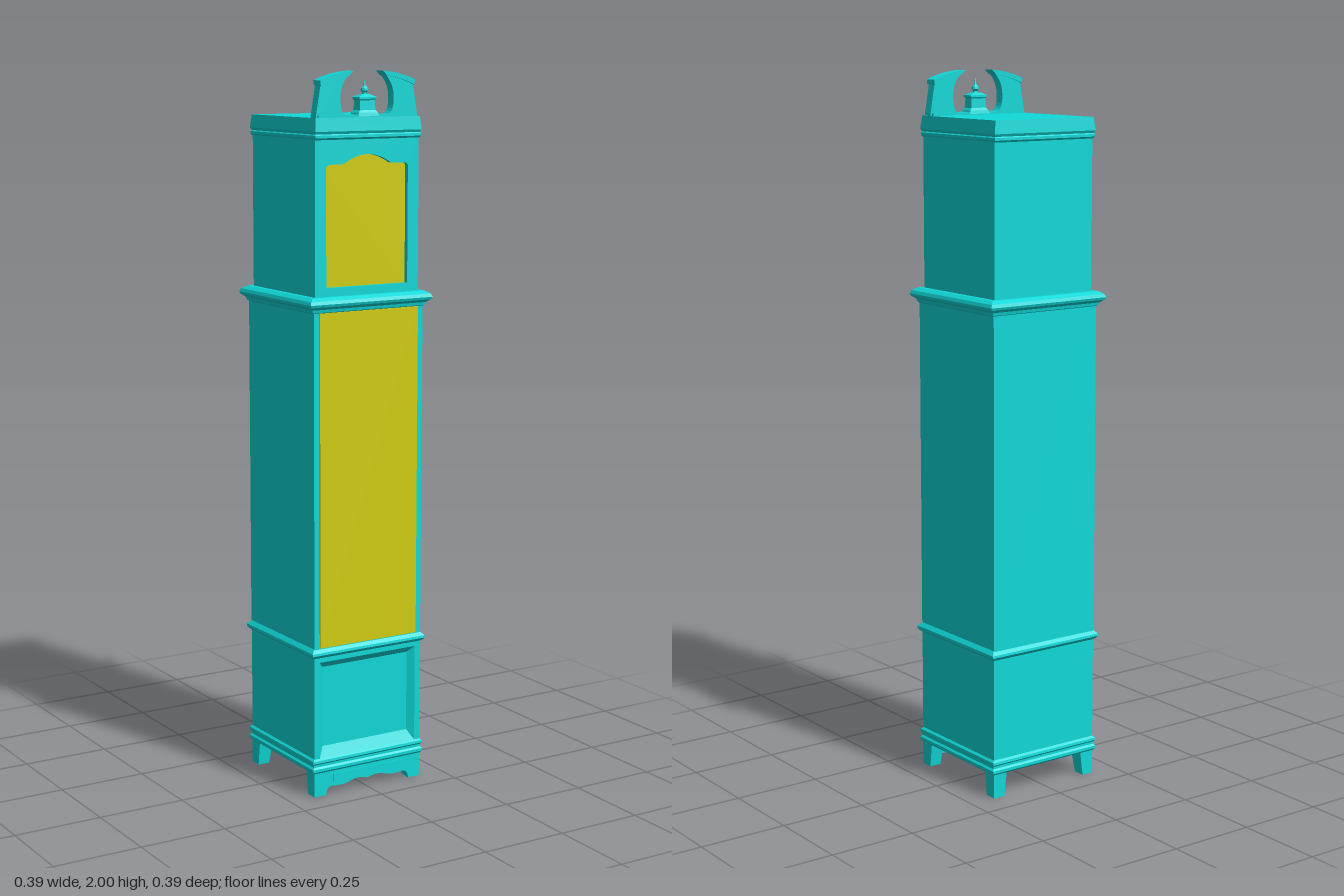
import * as THREE from 'three';

const wood = new THREE.MeshStandardMaterial({ color: 0x10d8d8, flatShading: true, side: THREE.DoubleSide });
const panel = new THREE.MeshStandardMaterial({ color: 0xd0cc10, flatShading: true, side: THREE.DoubleSide });

export function createModel() {
  const group = new THREE.Group();

  function add(name, geometry, material = wood, x = 0, y = 0, z = 0) {
    const mesh = new THREE.Mesh(geometry, material);
    mesh.name = name;
    mesh.position.set(x, y, z);
    group.add(mesh);
    return mesh;
  }
  // Box given by its lowest and highest corners
  function block(name, [x0, y0, z0], [x1, y1, z1], material) {
    return add(name, new THREE.BoxGeometry(x1 - x0, y1 - y0, z1 - z0), material,
      (x0 + x1) / 2, (y0 + y1) / 2, (z0 + z1) / 2);
  }
  // Four-sided moulding from a profile of [half width, y]
  function moulding(name, profile, zScale = 1, z = 0) {
    const points = profile.map(([r, y]) => new THREE.Vector2(r * Math.SQRT2, y));
    const mesh = add(name, new THREE.LatheGeometry(points, 4, Math.PI / 4), wood, 0, 0, z);
    mesh.scale.z = zScale;
    return mesh;
  }
  const slab = (shape, depth) =>
    new THREE.ExtrudeGeometry(shape, { depth, bevelEnabled: false, curveSegments: 8 });
  const rect = (x, y0, y1) => new THREE.Shape([[-x, y0], [x, y0], [x, y1], [-x, y1]]
    .map(([a, b]) => new THREE.Vector2(a, b)));

  // Base: body with a front frame round a bevelled recess
  block('baseBody', [-0.175, 0.07, -0.175], [0.175, 0.41, 0.16]);
  const baseFrame = rect(0.175, 0.07, 0.41);
  baseFrame.holes.push(rect(0.158, 0.11, 0.388));
  add('baseFrame', slab(baseFrame, 0.016), wood, 0, 0, 0.16);
  const ring = (x, y0, y1, z) => [[-x, y0, z], [x, y0, z], [x, y1, z], [-x, y1, z]];
  const outer = ring(0.158, 0.11, 0.388, 0.176), inner = ring(0.14, 0.14, 0.37, 0.161);
  const bevel = [];
  for (let i = 0; i < 4; i++) {
    const j = (i + 1) % 4;
    bevel.push(...outer[i], ...outer[j], ...inner[j], ...outer[i], ...inner[j], ...inner[i]);
  }
  const bevelGeometry = new THREE.BufferGeometry();
  bevelGeometry.setAttribute('position', new THREE.Float32BufferAttribute(bevel, 3));
  bevelGeometry.computeVertexNormals();
  add('basePanelBevel', bevelGeometry);

  // Mouldings at the foot, waist and shoulder
  moulding('footMoulding', [[0, 0.068], [0.176, 0.068], [0.182, 0.074], [0.182, 0.082],
    [0.177, 0.087], [0.177, 0.094], [0.182, 0.099], [0.181, 0.106], [0.174, 0.112]]);
  moulding('waistMoulding', [[0.174, 0.4], [0.181, 0.405], [0.186, 0.411], [0.185, 0.418], [0.174, 0.43]]);
  moulding('shoulderMoulding', [[0.174, 1.358], [0.18, 1.362], [0.182, 1.37], [0.193, 1.378],
    [0.196, 1.385], [0.192, 1.394], [0.179, 1.402], [0.165, 1.402], [0, 1.402]]);

  // Front apron with scalloped lower edge and bracket feet
  const apron = new THREE.Shape();
  apron.moveTo(-0.176, 0.07);
  apron.lineTo(-0.172, 0);
  apron.lineTo(-0.138, 0);
  apron.quadraticCurveTo(-0.135, 0.025, -0.115, 0.024);
  apron.quadraticCurveTo(-0.08, 0.018, -0.055, 0.028);
  apron.quadraticCurveTo(-0.03, 0.036, 0, 0.026);
  apron.quadraticCurveTo(0.03, 0.036, 0.055, 0.028);
  apron.quadraticCurveTo(0.08, 0.018, 0.115, 0.024);
  apron.quadraticCurveTo(0.135, 0.025, 0.138, 0);
  apron.lineTo(0.172, 0);
  apron.lineTo(0.176, 0.07);
  add('frontApron', slab(apron, 0.018), wood, 0, 0, 0.158);
  block('apronPanel', [-0.115, 0.037, 0.17], [0.115, 0.06, 0.179]);

  // Four tapered feet
  for (const sx of [-1, 1]) for (const sz of [-1, 1]) {
    const foot = new THREE.BoxGeometry(0.044, 0.07, 0.044);
    const p = foot.attributes.position;
    for (let i = 0; i < p.count; i++) {
      if (p.getY(i) > 0) continue;
      if (p.getX(i) * sx < 0) p.setX(i, p.getX(i) * 0.6);
      if (p.getZ(i) * sz < 0) p.setZ(i, p.getZ(i) * 0.6);
    }
    add(sz > 0 ? 'frontFoot' : 'backFoot', foot, wood, sx * 0.153, 0.035, sz * 0.154);
  }

  // Trunk with its long door
  block('trunk', [-0.175, 0.41, -0.177], [0.175, 1.37, 0.177]);
  block('trunkDoor', [-0.158, 0.43, 0.17], [0.157, 1.36, 0.181], panel);

  // Hood with an arched opening and recessed dial
  block('hoodBody', [-0.165, 1.4, -0.167], [0.165, 1.835, 0.152]);
  const arch = new THREE.Path();
  arch.moveTo(-0.13, 1.425);
  arch.lineTo(0.13, 1.425);
  arch.lineTo(0.13, 1.745);
  arch.quadraticCurveTo(0.128, 1.754, 0.115, 1.754);
  arch.lineTo(0.075, 1.755);
  arch.quadraticCurveTo(0.04, 1.778, 0, 1.78);
  arch.quadraticCurveTo(-0.04, 1.778, -0.075, 1.755);
  arch.lineTo(-0.115, 1.754);
  arch.quadraticCurveTo(-0.128, 1.754, -0.13, 1.745);
  arch.lineTo(-0.13, 1.425);
  const hoodFrame = rect(0.165, 1.4, 1.835);
  hoodFrame.holes.push(arch);
  add('hoodFrame', slab(hoodFrame, 0.015), wood, 0, 0, 0.152);
  add('dial', new THREE.ShapeGeometry(new THREE.Shape(arch.getPoints(8))), panel, 0, 0, 0.154);
  moulding('crown', [[0.164, 1.82], [0.168, 1.825], [0.168, 1.832], [0.165, 1.835],
    [0.169, 1.842], [0.165, 1.878], [0, 1.878]], 1.04);

  // Split pediment: two horns, each with a cap moulding
  const horn = new THREE.Shape();
  horn.moveTo(0.163, 1.85);
  horn.lineTo(0.16, 1.885);
  horn.lineTo(0.146, 1.965);
  horn.quadraticCurveTo(0.11, 1.982, 0.058, 1.99);
  horn.quadraticCurveTo(0.084, 1.965, 0.084, 1.93);
  horn.quadraticCurveTo(0.086, 1.88, 0.052, 1.88);
  horn.lineTo(0, 1.88);
  horn.lineTo(0, 1.85);
  const cap = new THREE.Shape();
  cap.moveTo(0.148, 1.962);
  cap.lineTo(0.15, 1.976);
  cap.quadraticCurveTo(0.1, 1.997, 0.046, 2);
  cap.lineTo(0.06, 1.987);
  cap.quadraticCurveTo(0.11, 1.98, 0.148, 1.962);
  for (const side of [1, -1]) {
    add('pedimentHorn', slab(horn, 0.027), wood, 0, 0, 0.138).scale.x = side;
    add('hornCap', slab(cap, 0.036), wood, 0, 0, 0.134).scale.x = side;
  }
  block('pedimentBase', [-0.155, 1.87, 0.132], [0.155, 1.885, 0.17]);

  // Centre finial on its square pedestal
  moulding('finialPedestal', [[0.034, 1.88], [0.03, 1.89], [0.025, 1.896], [0.023, 1.922],
    [0.027, 1.926], [0.027, 1.931], [0.012, 1.938], [0, 1.938]], 0.65, 0.151);
  const finial = [[0.007, 1.936], [0.006, 1.942], [0.011, 1.948], [0.01, 1.954],
    [0.004, 1.96], [0.002, 1.97], [0, 1.978]].map(([r, y]) => new THREE.Vector2(r, y));
  add('finial', new THREE.LatheGeometry(finial, 10), wood, 0, 0, 0.151);

  return group;
}
